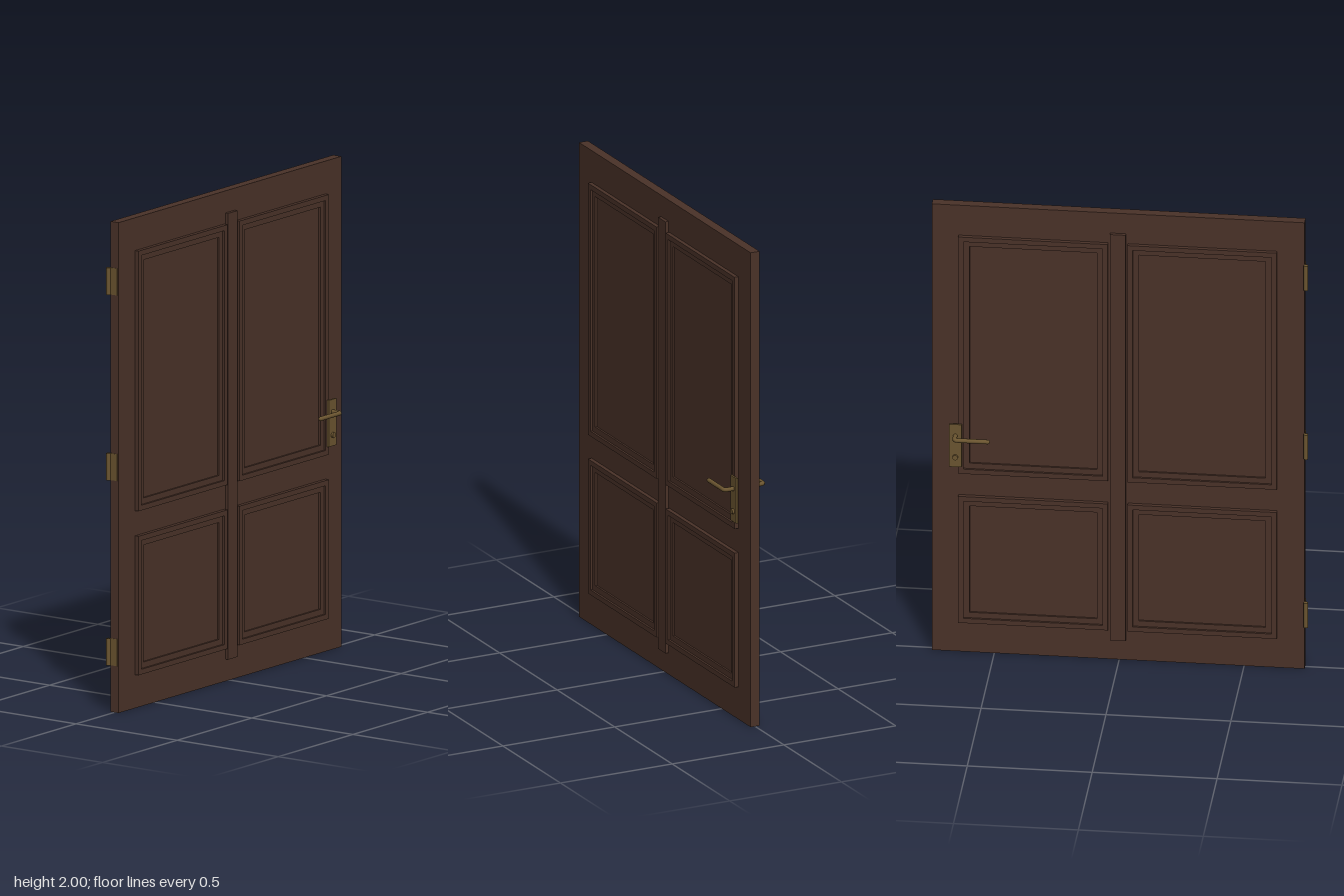
import * as THREE from 'three';

const wood = new THREE.MeshStandardMaterial({ color: 0x4a3228 });
wood.name = 'dark wood';
const brass = new THREE.MeshStandardMaterial({ color: 0x6b5530 });
brass.name = 'aged brass';

function add(parent, name, geometry, material, x = 0, y = 0, z = 0) {
  const mesh = new THREE.Mesh(geometry, material);
  mesh.name = name;
  mesh.position.set(x, y, z);
  parent.add(mesh);
  return mesh;
}

// Box given by its limits on each axis
function block(parent, name, material, x0, x1, y0, y1, z0, z1) {
  return add(parent, name, new THREE.BoxGeometry(x1 - x0, y1 - y0, z1 - z0), material,
    (x0 + x1) / 2, (y0 + y1) / 2, (z0 + z1) / 2);
}

// Rectangular ring of the given border width, extruded along z
function ring(w, h, border, depth) {
  const rect = (T, a, b) => new T([
    new THREE.Vector2(-a, -b), new THREE.Vector2(a, -b),
    new THREE.Vector2(a, b), new THREE.Vector2(-a, b)]);
  const shape = rect(THREE.Shape, w / 2, h / 2);
  shape.holes.push(rect(THREE.Path, w / 2 - border, h / 2 - border));
  return new THREE.ExtrudeGeometry(shape, { depth, bevelEnabled: false }).translate(0, 0, -depth / 2);
}

// Stepped moulding, showing on both faces of the door
function panel(x0, x1, y0, y1) {
  const group = new THREE.Group();
  group.name = 'panelMoulding';
  group.position.set((x0 + x1) / 2, (y0 + y1) / 2, 0);
  const w = x1 - x0, h = y1 - y0;
  add(group, 'outerMoulding', ring(w, h, 0.021, 0.074), wood);
  add(group, 'innerMoulding', ring(w - 0.042, h - 0.042, 0.024, 0.056), wood);
  return group;
}

// Back plate, bent lever and lock cylinder for one side
function handle(side) {
  const group = new THREE.Group();
  group.name = side > 0 ? 'frontHandle' : 'backHandle';
  const mid = 0.653;
  block(group, 'backPlate', brass, 0.628, 0.678, 0.84, 1.03, side * 0.044 - 0.004, side * 0.044 + 0.004);

  const path = new THREE.CurvePath();
  const p = (x, z) => new THREE.Vector3(x, 0.98, side * z);
  path.add(new THREE.LineCurve3(p(mid, 0.04), p(mid, 0.076)));
  path.add(new THREE.QuadraticBezierCurve3(p(mid, 0.076), p(mid, 0.088), p(mid - 0.012, 0.088)));
  path.add(new THREE.LineCurve3(p(mid - 0.012, 0.088), p(0.519, 0.088)));
  add(group, 'lever', new THREE.TubeGeometry(path, 40, 0.009, 12), brass);
  add(group, 'leverTip', new THREE.SphereGeometry(0.009, 12, 8), brass, 0.519, 0.98, side * 0.088);

  const lock = add(group, 'lockCylinder', new THREE.CylinderGeometry(0.011, 0.011, 0.016, 16), brass,
    mid, 0.885, side * 0.049);
  lock.rotation.x = Math.PI / 2;
  return group;
}

export function createModel() {
  const door = new THREE.Group();
  door.name = 'door';

  block(door, 'slab', wood, -0.742, 0.75, 0, 2, -0.02, 0.02);
  block(door, 'centreStile', wood, -0.027, 0.036, 0.09, 1.91, -0.034, 0.034);

  for (const [x0, x1] of [[-0.632, -0.035], [0.044, 0.643]])
    for (const [y0, y1] of [[0.805, 1.866], [0.136, 0.703]])
      door.add(panel(x0, x1, y0, y1));

  for (const side of [1, -1]) door.add(handle(side));

  // Hinges on the rear of the left-hand edge
  for (const y of [0.245, 1.0, 1.757]) {
    const hinge = new THREE.Group();
    hinge.name = 'hinge';
    hinge.position.set(0, y, 0);
    add(hinge, 'hingeBarrel', new THREE.CylinderGeometry(0.009, 0.009, 0.11, 16), brass, -0.748, 0, -0.026);
    block(hinge, 'hingeLeaf', brass, -0.744, -0.741, -0.055, 0.055, -0.026, 0.014);
    door.add(hinge);
  }
  return door;
}
